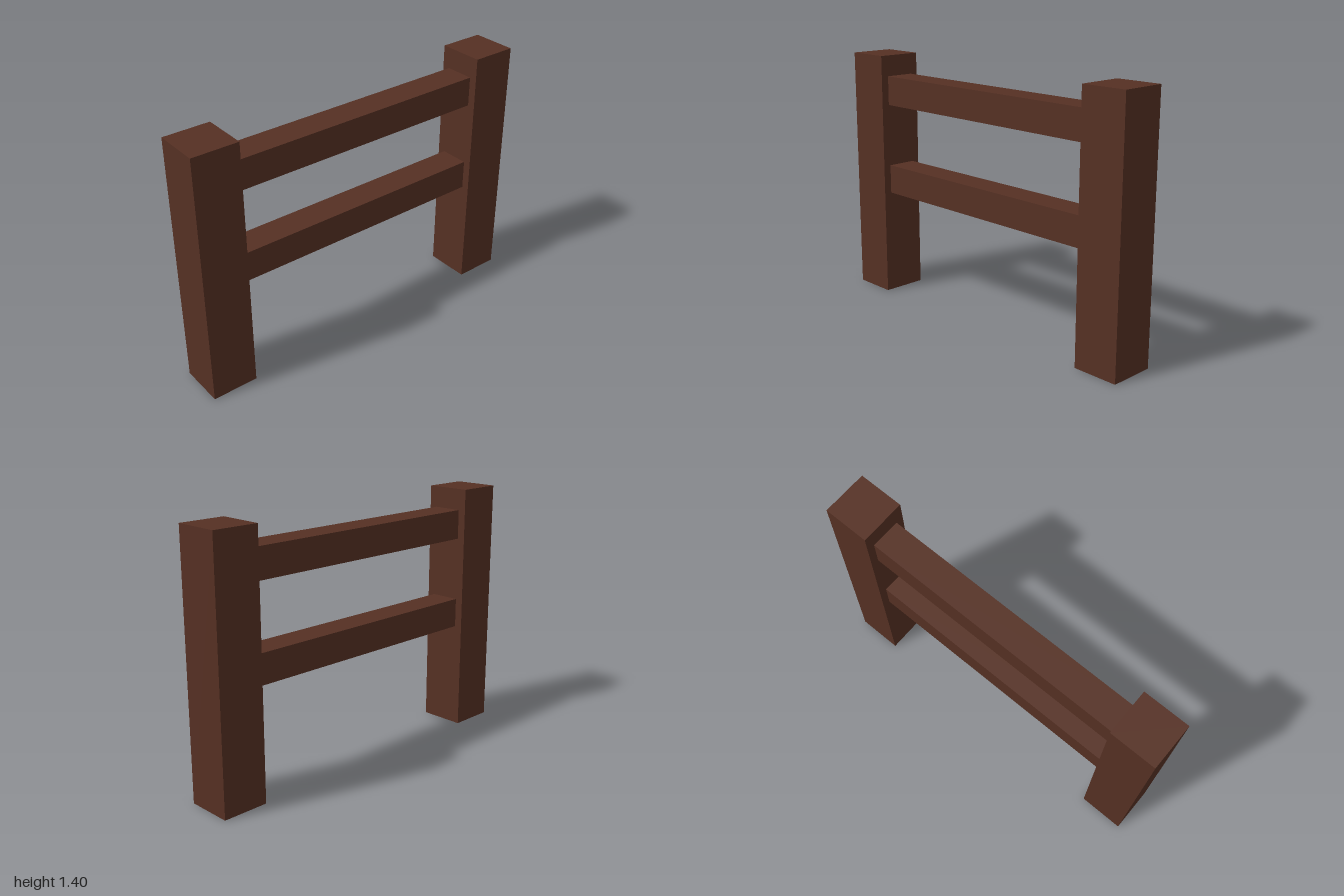
import * as THREE from 'three';

export function createModel() {
  const model = new THREE.Group();
  model.name = 'fence';
  const wood = new THREE.MeshStandardMaterial({ color: 0x553023, flatShading: true });

  const postSize = 0.254, postHeight = 1.405, railSize = 0.165;
  const postX = 1 - postSize / 2;

  function addBeam(name, w, h, d, x, y) {
    const beam = new THREE.Mesh(new THREE.BoxGeometry(w, h, d), wood);
    beam.name = name;
    beam.position.set(x, y, 0);
    model.add(beam);
  }

  // Square upright posts
  for (const [name, side] of [['leftPost', 1], ['rightPost', -1]]) {
    addBeam(name, postSize, postHeight, postSize, side * postX, postHeight / 2);
  }

  // Rails spanning between the inner post faces
  const railLength = 2 - 2 * postSize;
  for (const [name, y] of [['lowerRail', 0.683], ['upperRail', 1.204]]) {
    addBeam(name, railLength, railSize, railSize, 0, y);
  }

  return model;
}
